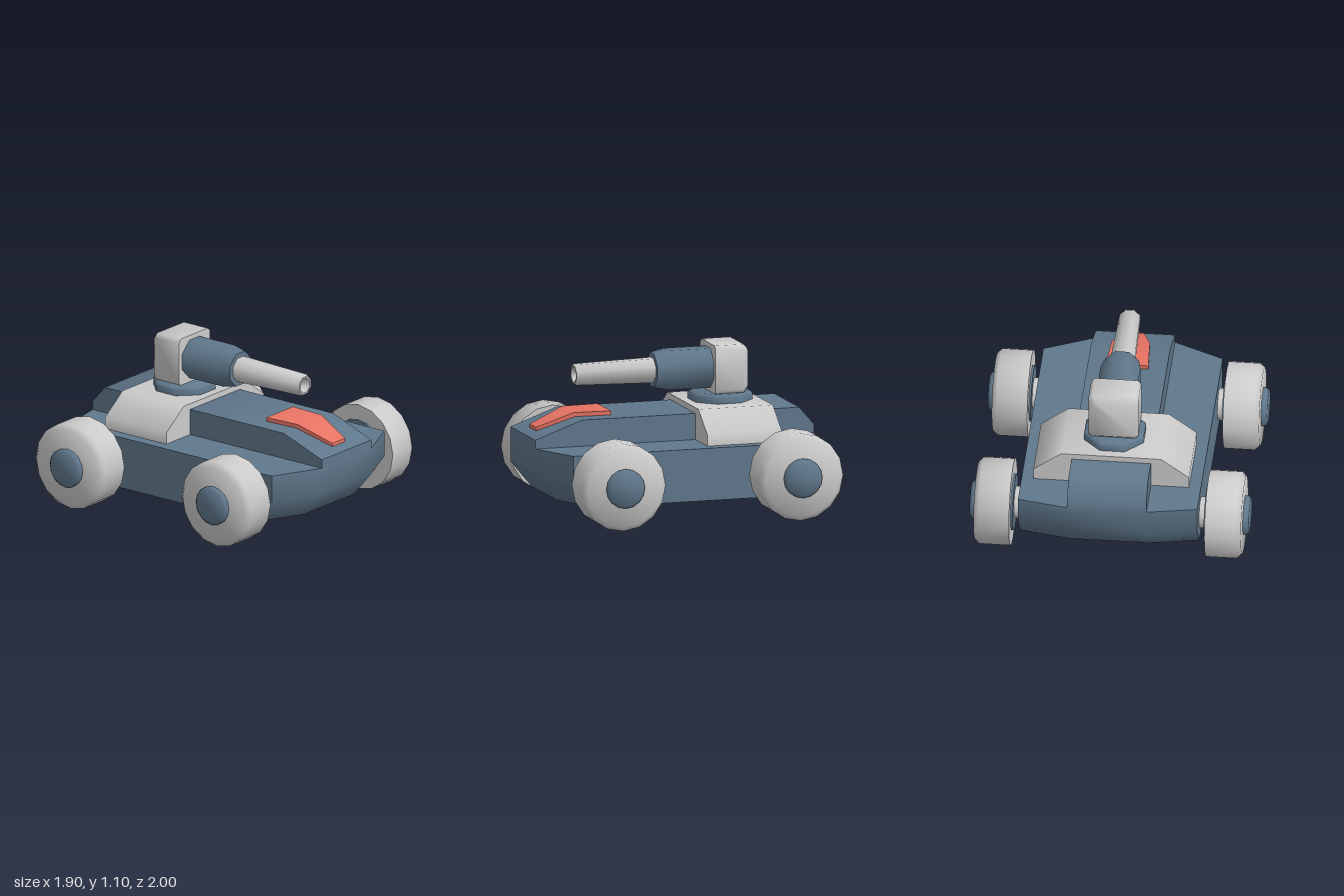
import * as THREE from 'three';
import { toCreasedNormals } from 'three/addons/utils/BufferGeometryUtils.js';
import { ConvexGeometry } from 'three/addons/geometries/ConvexGeometry.js';

const CREASE = 0.95;
const grey = new THREE.MeshStandardMaterial({ color: 0xcccccc });
const blue = new THREE.MeshStandardMaterial({ color: 0x60788c });
const red = new THREE.MeshStandardMaterial({ color: 0xe87464 });

function mesh(name, geometry, material) {
  const m = new THREE.Mesh(toCreasedNormals(geometry, CREASE), material);
  m.name = name;
  return m;
}

// Convex solid from corner points, mirrored across x = 0
function mirroredSolid(points) {
  return new ConvexGeometry(points.flatMap(([x, y, z]) => [
    new THREE.Vector3(x, y, z), new THREE.Vector3(-x, y, z),
  ]));
}

// Turned solid: profile is [radius, distance along axis]
function turned(profile, sides, phase = 0) {
  return new THREE.LatheGeometry(profile.map(([r, d]) => new THREE.Vector2(r, d)), sides, phase);
}

// Eight-sided turned solid, measured across its flats
function octagonal(profile) {
  const k = 1 / Math.cos(Math.PI / 8);
  return turned(profile.map(([r, d]) => [r * k, d]), 8, Math.PI / 8);
}

// Wheel, cap, backing disc and axle, built along +x
function createWheel(name) {
  const wheel = new THREE.Group();
  wheel.name = name;
  const add = (part, profile, sides, material) =>
    wheel.add(mesh(part, turned(profile, sides).rotateZ(-Math.PI / 2), material));
  add('tyre', [[0, 0.665], [0.3, 0.665], [0.3, 0.875], [0.265, 0.91], [0, 0.91]], 16, grey);
  add('hubCap', [[0.135, 0.9], [0.135, 0.93], [0.115, 0.95], [0, 0.95]], 16, blue);
  add('innerDisc', [[0, 0.65], [0.195, 0.65], [0.195, 0.67]], 16, blue);
  add('axle', [[0.11, 0.55], [0.11, 0.66]], 12, grey);
  return wheel;
}

export function createModel() {
  const model = new THREE.Group();
  model.name = 'armouredCar';

  // Lower hull: a [y, z] profile, pulled in towards the flanks
  const hull = [[0.49, 1], [0.31, 1], [0.13, 0.85], [0.13, -0.84], [0.31, -0.985], [0.49, -0.985]];
  const hullPoints = hull.flatMap(([y, z]) => [
    [0.27, y, z], [0.61, y, z > 0 ? z - 0.16 : z + 0.065],
  ]);
  model.add(mesh('hull', mirroredSolid(hullPoints), blue));

  // Raised spine along the middle
  const spine = [[0.47, 1], [0.55, 1], [0.67, 0.67], [0.67, -0.88], [0.55, -0.985], [0.47, -0.985]];
  model.add(mesh('spine', mirroredSolid(spine.map(([y, z]) => [0.27, y, z])), blue));

  // Bent hatch plate on the nose
  model.add(mesh('hatch', mirroredSolid([
    [0.145, 0.698, 0.42], [0.13, 0.698, 0.68], [0.068, 0.6, 0.93],
    [0.145, 0.62, 0.42], [0.13, 0.62, 0.68], [0.068, 0.56, 0.93],
  ]), red));

  // Turret deck across the hull
  const deck = [[0.53, 0.48], [0.53, 0.57], [0.34, 0.71]];
  model.add(mesh('turretDeck', mirroredSolid(
    deck.flatMap(([x, y]) => [[x, y, -0.14], [x, y, -0.67]])), grey));

  // Turret ring
  const ring = octagonal([[0.203, 0.7], [0.203, 0.755], [0.185, 0.772], [0, 0.772]]);
  model.add(mesh('turretRing', ring.translate(0, 0, -0.405), blue));

  // Turret block with bevelled corners and a bevelled back
  const section = (w, h, c, z) => [1, -1].flatMap((s) => [
    [w - c, 0.935 + s * h, z], [w, 0.935 + s * (h - c), z],
  ]);
  model.add(mesh('turretBlock', mirroredSolid([
    ...section(0.17, 0.168, 0.025, -0.318),
    ...section(0.17, 0.168, 0.025, -0.525),
    ...section(0.14, 0.138, 0.02, -0.558),
  ]), grey));

  // Gun: bevelled sleeve and tapering barrel with an open bore
  const gun = new THREE.Group();
  gun.name = 'gun';
  gun.position.y = 0.935;
  gun.add(mesh('gunSleeve', octagonal([
    [0.135, -0.33], [0.135, -0.02], [0.115, 0.08], [0, 0.08],
  ]).rotateX(Math.PI / 2), blue));
  gun.add(mesh('gunBarrel', octagonal([
    [0.083, 0.07], [0.07, 0.628], [0.062, 0.64], [0.05, 0.64], [0.035, 0.56], [0, 0.56],
  ]).rotateX(Math.PI / 2), grey));
  model.add(gun);

  // Four wheels
  for (const [end, z] of [['front', 0.57], ['back', -0.695]]) {
    for (const [side, turn] of [['Left', 0], ['Right', Math.PI]]) {
      const wheel = createWheel(`${end}${side}Wheel`);
      wheel.position.set(0, 0.305, z);
      wheel.rotation.y = turn;
      model.add(wheel);
    }
  }
  return model;
}
